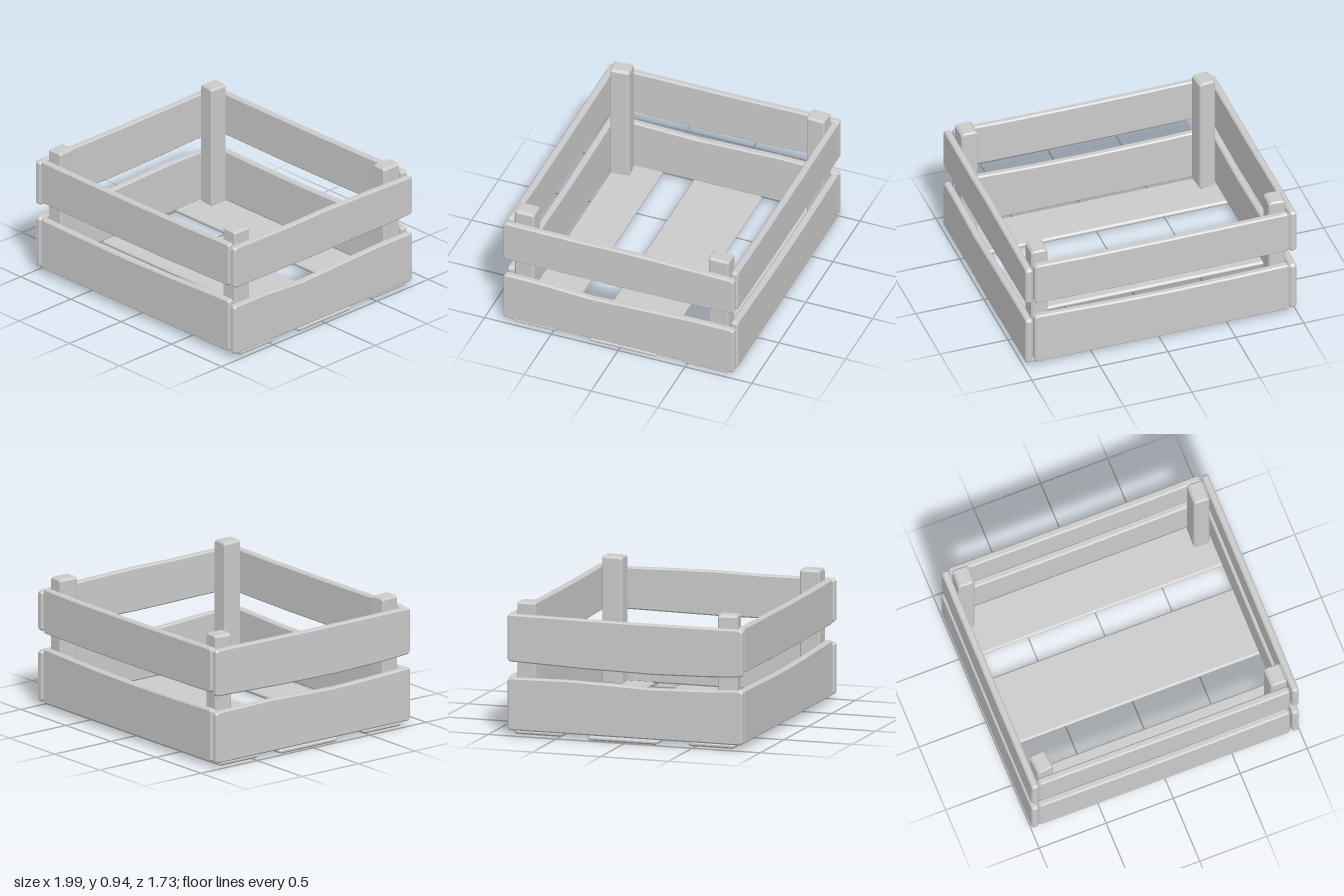
import * as THREE from 'three';

const material = new THREE.MeshStandardMaterial({ color: 0xcccccc, flatShading: true });
const C = 0.01; // corner chamfer

// Chamfered board in the XY plane: top and bottom are [u, y] lists running left to right
function boardGeometry(top, bottom, thickness, bevel) {
  const inset = (list, dy) => list.map(([u, y], i) => {
    const du = i === 0 ? bevel : i === list.length - 1 ? -bevel : 0;
    return [u + du, y + dy];
  });
  // Cut the two end corners of an edge
  const cut = (list, s) => {
    const first = list[0], last = list[list.length - 1];
    return [
      [first[0], first[1] - s * C], [first[0] + C, first[1]],
      ...list.slice(1, -1),
      [last[0] - C, last[1]], [last[0], last[1] - s * C],
    ];
  };
  const outline = [...cut(inset(bottom, bevel), -1), ...cut(inset(top, -bevel), 1).reverse()];
  const depth = thickness - 2 * bevel;
  const geometry = new THREE.ExtrudeGeometry(
    new THREE.Shape(outline.map(([u, y]) => new THREE.Vector2(u, y))),
    { depth, bevelEnabled: true, bevelSize: bevel, bevelThickness: bevel, bevelSegments: 1 });
  return geometry.translate(0, 0, -depth / 2);
}

export function createModel() {
  const crate = new THREE.Group();
  crate.name = 'crate';

  const add = (name, geometry) => {
    const mesh = new THREE.Mesh(geometry, material);
    mesh.name = name;
    crate.add(mesh);
    return mesh;
  };

  // Front and back boards, u runs along x
  const lowerTop = [[-0.945, 0.42], [-0.55, 0.412], [-0.1, 0.408], [0.35, 0.415], [0.7, 0.428], [0.93, 0.434]];
  const lowerBottom = [[-0.945, 0.04], [0.93, 0.04]];
  const upperTop = [[-0.945, 0.862], [-0.5, 0.858], [0, 0.856], [0.5, 0.858], [0.93, 0.866]];
  const upperBottom = [[-0.945, 0.542], [-0.3, 0.535], [0.3, 0.536], [0.93, 0.545]];
  for (const [side, z] of [['front', 0.835], ['back', -0.84]]) {
    add(side + 'LowerBoard', boardGeometry(lowerTop, lowerBottom, 0.05, 0.01)).position.z = z;
    add(side + 'UpperBoard', boardGeometry(upperTop, upperBottom, 0.05, 0.01)).position.z = z;
  }

  // Side boards, u runs along -z
  const sides = [
    ['leftLowerBoard', 0.968,
      [[-0.865, 0.412], [-0.6, 0.41], [-0.2, 0.388], [0.1, 0.398], [0.55, 0.412], [0.86, 0.41]],
      [[-0.865, 0.04], [0.86, 0.04]]],
    ['leftUpperBoard', 0.968,
      [[-0.865, 0.86], [-0.3, 0.854], [0, 0.86], [0.4, 0.853], [0.86, 0.842]],
      [[-0.865, 0.55], [0, 0.543], [0.86, 0.552]]],
    ['rightLowerBoard', -0.973,
      [[-0.865, 0.425], [-0.6, 0.412], [-0.2, 0.4], [0.4, 0.418], [0.86, 0.41]],
      [[-0.865, 0.04], [0.86, 0.04]]],
    ['rightUpperBoard', -0.973,
      [[-0.865, 0.855], [0, 0.853], [0.86, 0.86]],
      [[-0.865, 0.52], [-0.6, 0.507], [-0.2, 0.498], [0.3, 0.506], [0.86, 0.525]]],
  ];
  for (const [name, x, top, bottom] of sides) {
    const board = add(name, boardGeometry(top, bottom, 0.05, 0.01));
    board.rotation.y = Math.PI / 2;
    board.position.x = x;
  }

  // Floor slats, laid flat
  for (const [name, z0, z1, y] of [
    ['frontSlat', 0.46, 0.8, 0.027], ['middleSlat', -0.28, 0.235, 0.018], ['backSlat', -0.82, -0.465, 0.03],
  ]) {
    const edge = z => [[-0.985, -z], [0.98, -z]];
    const slat = add(name, boardGeometry(edge(z0), edge(z1), 0.034, 0.012));
    slat.rotation.x = -Math.PI / 2;
    slat.position.y = y;
  }

  // Corner posts, slightly twisted
  for (const [name, x, z, width, depth, twist] of [
    ['frontLeftPost', 0.87, 0.73, 0.122, 0.145, 0],
    ['frontRightPost', -0.876, 0.73, 0.12, 0.14, 0.09],
    ['backLeftPost', 0.869, -0.722, 0.118, 0.15, -0.03],
    ['backRightPost', -0.876, -0.742, 0.122, 0.135, -0.05],
  ]) {
    const w = width / 2;
    const post = add(name, boardGeometry([[-w, 0.942], [w, 0.942]], [[-w, 0.035], [w, 0.035]], depth, 0.01));
    post.position.set(x, 0, z);
    post.rotation.y = twist;
  }
  return crate;
}
